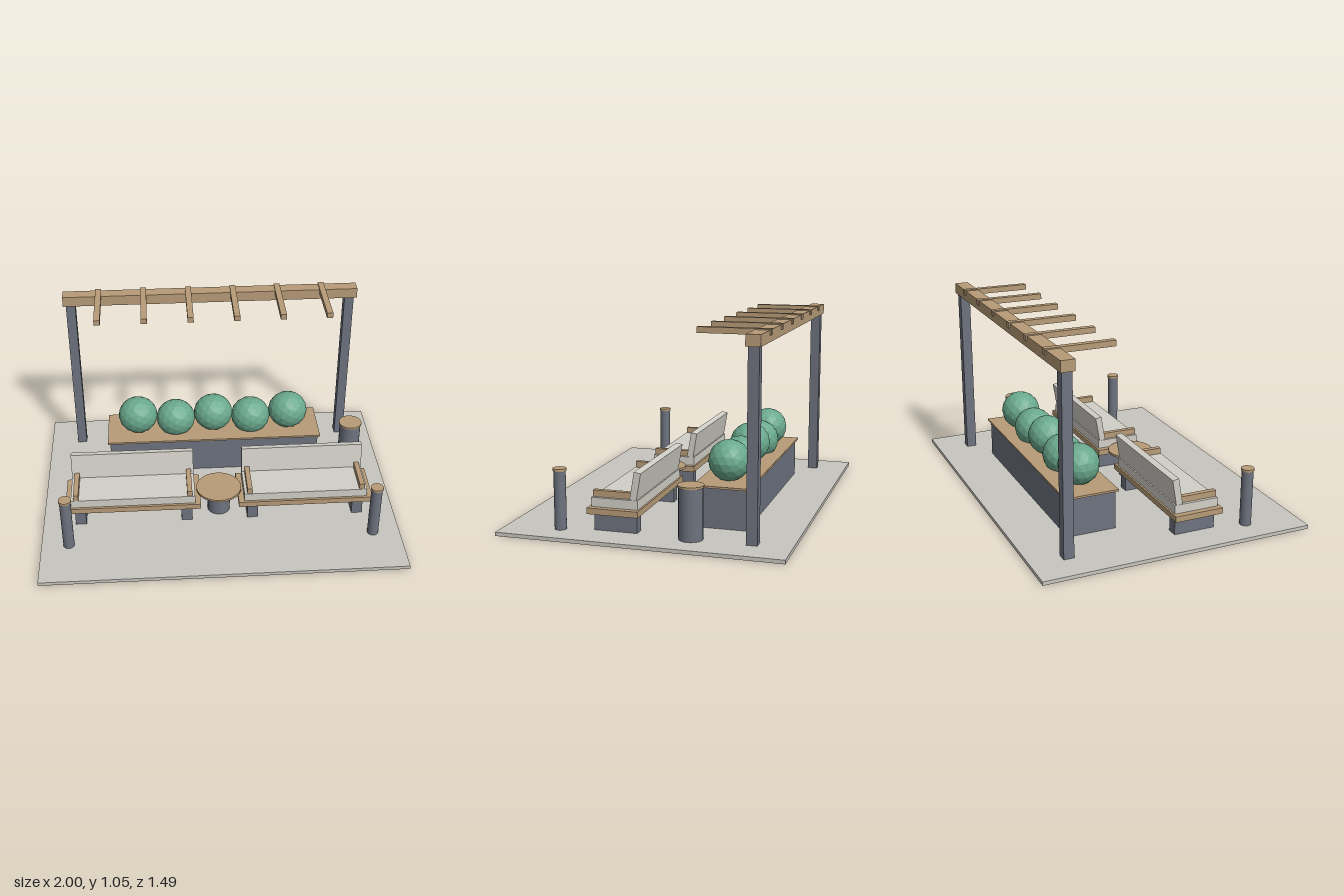
import * as THREE from 'three';

const mat = (name, color) => {
  const m = new THREE.MeshStandardMaterial({ color });
  m.name = name;
  return m;
};

export function createModel() {
  const model = new THREE.Group();
  model.name = 'gardenSeating';
  const wood = mat('wood', 0xb89c78);
  const slate = mat('slate', 0x6e737f);
  const cushion = mat('cushion', 0xd2d0c8);
  const paving = mat('paving', 0xc8c6c0);
  const leaf = mat('leaf', 0x6aa98d);

  const add = (parent, name, geo, material, x, y, z) => {
    const mesh = new THREE.Mesh(geo, material);
    mesh.name = name;
    mesh.position.set(x, y, z);
    parent.add(mesh);
    return mesh;
  };
  // Box given by its ranges on each axis
  const box = (parent, name, material, [x0, x1], [y0, y1], [z0, z1]) =>
    add(parent, name, new THREE.BoxGeometry(x1 - x0, y1 - y0, z1 - z0), material,
      (x0 + x1) / 2, (y0 + y1) / 2, (z0 + z1) / 2);
  // Upright cylinder from y0 to y1
  const drum = (parent, name, material, r, x, y0, y1, z) =>
    add(parent, name, new THREE.CylinderGeometry(r, r, y1 - y0, 24), material, x, (y0 + y1) / 2, z);
  const group = (name) => {
    const g = new THREE.Group();
    g.name = name;
    model.add(g);
    return g;
  };

  box(model, 'pavedBase', paving, [-1, 1], [0, 0.02], [-0.745, 0.745]);

  // Pergola: two posts, a beam and six cantilevered slats
  const pergola = group('pergola');
  for (const s of [-1, 1])
    box(pergola, 'post', slate, [s * 0.812 - 0.027, s * 0.812 + 0.027], [0.02, 0.99], [-0.573, -0.517]);
  box(pergola, 'beam', wood, [-0.855, 0.855], [0.99, 1.049], [-0.583, -0.508]);
  for (let i = 0; i < 6; i++) {
    const x = -0.65 + i * 0.26;
    box(pergola, 'slat', wood, [x - 0.017, x + 0.017], [1.024, 1.055], [-0.59, -0.215]);
  }

  // Planter with five faceted shrubs, alternating in height
  const planter = group('planter');
  box(planter, 'planterBox', slate, [-0.62, 0.62], [0.02, 0.232], [-0.465, -0.195]);
  box(planter, 'planterTop', wood, [-0.633, 0.633], [0.232, 0.243], [-0.48, -0.182]);
  const shrubGeo = new THREE.IcosahedronGeometry(0.111, 2);
  shrubGeo.computeVertexNormals();
  for (let i = 0; i < 5; i++) {
    const shrub = add(planter, 'shrub', shrubGeo, leaf, (i - 2) * 0.225, i % 2 ? 0.312 : 0.341, -0.33);
    shrub.scale.x = 1.05;
  }

  // Pair of benches, each built around its own centre line
  for (const s of [-1, 1]) {
    const bench = group(s > 0 ? 'leftBench' : 'rightBench');
    bench.position.x = s * 0.487;
    box(bench, 'seatBoard', wood, [-0.38, 0.38], [0.115, 0.147], [0.03, 0.302]);
    box(bench, 'seatCushion', cushion, [-0.348, 0.348], [0.147, 0.195], [0.04, 0.288]);
    const back = add(bench, 'backCushion', new THREE.BoxGeometry(0.695, 0.145, 0.036), cushion, 0, 0.267, 0.053);
    back.rotation.x = -0.17;
    for (const e of [-1, 1]) {
      box(bench, 'leg', slate, [e * 0.3 - 0.03, e * 0.3 + 0.03], [0.02, 0.115], [0.05, 0.28]);
      box(bench, 'armrest', wood, [e * 0.318 - 0.014, e * 0.318 + 0.014], [0.195, 0.229], [0.07, 0.285]);
    }
  }

  // Round table between the benches
  const table = group('table');
  drum(table, 'pedestal', slate, 0.064, 0, 0.02, 0.16, 0.18);
  drum(table, 'tableTop', wood, 0.128, 0, 0.16, 0.173, 0.18);

  // Bollards at the front corners
  for (const s of [-1, 1]) {
    const bollard = group('bollard');
    drum(bollard, 'bollardBody', slate, 0.031, s * 0.848, 0.02, 0.325, 0.452);
    drum(bollard, 'bollardCap', wood, 0.035, s * 0.848, 0.325, 0.338, 0.452);
  }

  // Litter bin beside the planter
  const bin = group('bin');
  drum(bin, 'binBody', slate, 0.062, 0.82, 0.02, 0.286, -0.232);
  drum(bin, 'binLid', wood, 0.067, 0.82, 0.286, 0.297, -0.232);

  return model;
}
